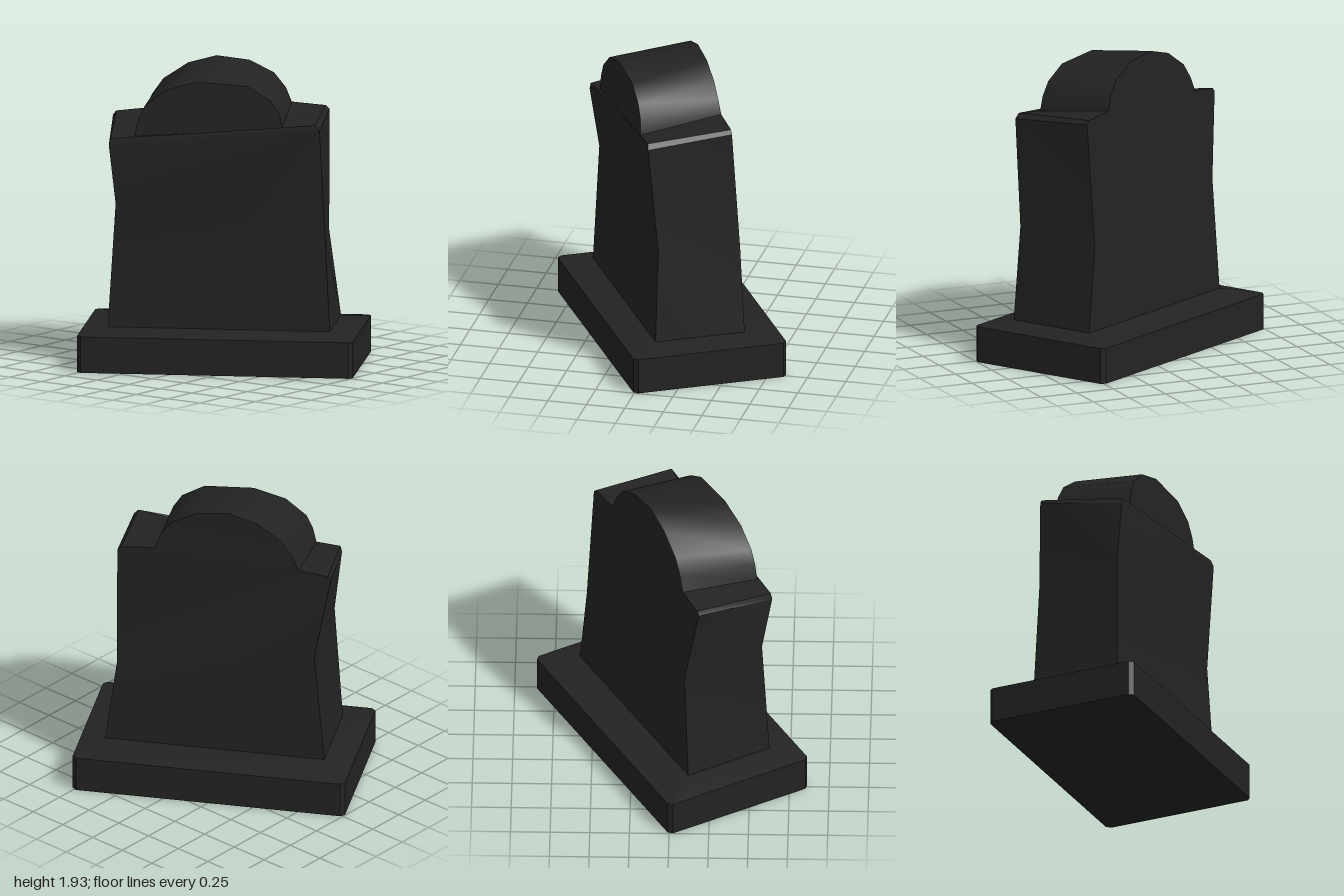
import * as THREE from 'three';
import { toCreasedNormals } from 'three/addons/utils/BufferGeometryUtils.js';

const darkStone = new THREE.MeshStandardMaterial({ color: 0x232323 });
darkStone.name = 'darkStone';

// Collects corners of triangles and quads (counter-clockwise from outside)
function faceBuilder() {
  const pos = [];
  const tri = (a, b, c) => pos.push(...a, ...b, ...c);
  const quad = (a, b, c, d) => { tri(a, b, c); tri(a, c, d); };
  const mesh = (name) => {
    const geo = new THREE.BufferGeometry();
    geo.setAttribute('position', new THREE.Float32BufferAttribute(pos, 3));
    const m = new THREE.Mesh(toCreasedNormals(geo, 0.6), darkStone);
    m.name = name;
    return m;
  };
  return { tri, quad, mesh };
}

// Rectangle with cut corners at height y
function ring(x, zBack, zFront, c, y) {
  return [
    [x, y, zFront - c], [x, y, zBack + c], [x - c, y, zBack], [-x + c, y, zBack],
    [-x, y, zBack + c], [-x, y, zFront - c], [-x + c, y, zFront], [x - c, y, zFront],
  ];
}

// Plinth: straight sides, then a shallow slope up to the slab
function makePlinth() {
  const f = faceBuilder();
  const rings = [
    ring(0.876, -0.502, 0.502, 0.026, 0),
    ring(0.876, -0.502, 0.502, 0.026, 0.23),
    ring(0.705, -0.27, 0.315, 0.003, 0.265),
  ];
  for (let r = 0; r < 2; r++) {
    for (let i = 0; i < 8; i++) {
      const j = (i + 1) % 8;
      f.quad(rings[r][i], rings[r][j], rings[r + 1][j], rings[r + 1][i]);
    }
  }
  for (let i = 1; i < 7; i++) {
    f.tri(rings[0][0], rings[0][i + 1], rings[0][i]);
    f.tri(rings[2][0], rings[2][i], rings[2][i + 1]);
  }
  return f.mesh('plinth');
}

// Crooked slab: front and back outlines run from bottom left over the arch to bottom right
function makeSlab() {
  const front = [
    [-0.70, 0.265, 0.315], [-0.653, 1.05, 0.287], [-0.69, 1.435, 0.34], [-0.68, 1.475, 0.335],
    [-0.53, 1.491, 0.32], [-0.508, 1.593, 0.318], [-0.466, 1.684, 0.315], [-0.334, 1.79, 0.313],
    [-0.13, 1.845, 0.312],
    [0.188, 1.823, 0.315], [0.333, 1.738, 0.318], [0.39, 1.652, 0.32], [0.41, 1.56, 0.325],
    [0.62, 1.588, 0.34], [0.649, 1.556, 0.346], [0.677, 0.87, 0.287], [0.71, 0.265, 0.315],
  ];
  const back = [
    [-0.70, 0.265, -0.27], [-0.634, 0.99, -0.262], [-0.73, 1.53, -0.21], [-0.71, 1.555, -0.21],
    [-0.52, 1.578, -0.21], [-0.48, 1.67, -0.205], [-0.41, 1.77, -0.2], [-0.25, 1.877, -0.195],
    [-0.07, 1.927, -0.19],
    [0.14, 1.903, -0.188], [0.295, 1.825, -0.19], [0.37, 1.73, -0.195], [0.405, 1.638, -0.205],
    [0.62, 1.62, -0.207], [0.644, 1.596, -0.206], [0.636, 0.81, -0.262], [0.71, 0.265, -0.27],
  ];
  const f = faceBuilder();
  const last = front.length - 1;
  const apex = last / 2;
  // Broad faces, filled in rows from the ground up
  for (let i = 0; i < apex - 1; i++) {
    const j = last - i;
    f.quad(front[i], front[j], front[j - 1], front[i + 1]);
    f.quad(back[j], back[i], back[i + 1], back[j - 1]);
  }
  f.tri(front[apex - 1], front[apex + 1], front[apex]);
  f.tri(back[apex + 1], back[apex - 1], back[apex]);
  // Edge band over sides, shoulders and arch
  for (let i = 0; i < last; i++) f.quad(front[i], front[i + 1], back[i + 1], back[i]);
  // Underside
  f.quad(front[0], back[0], back[last], front[last]);
  return f.mesh('slab');
}

export function createModel() {
  const group = new THREE.Group();
  group.name = 'gravestone';
  const stone = new THREE.Group();
  stone.name = 'turnedStone';
  stone.rotation.y = -Math.PI / 3;
  stone.add(makePlinth(), makeSlab());
  group.add(stone);
  return group;
}
